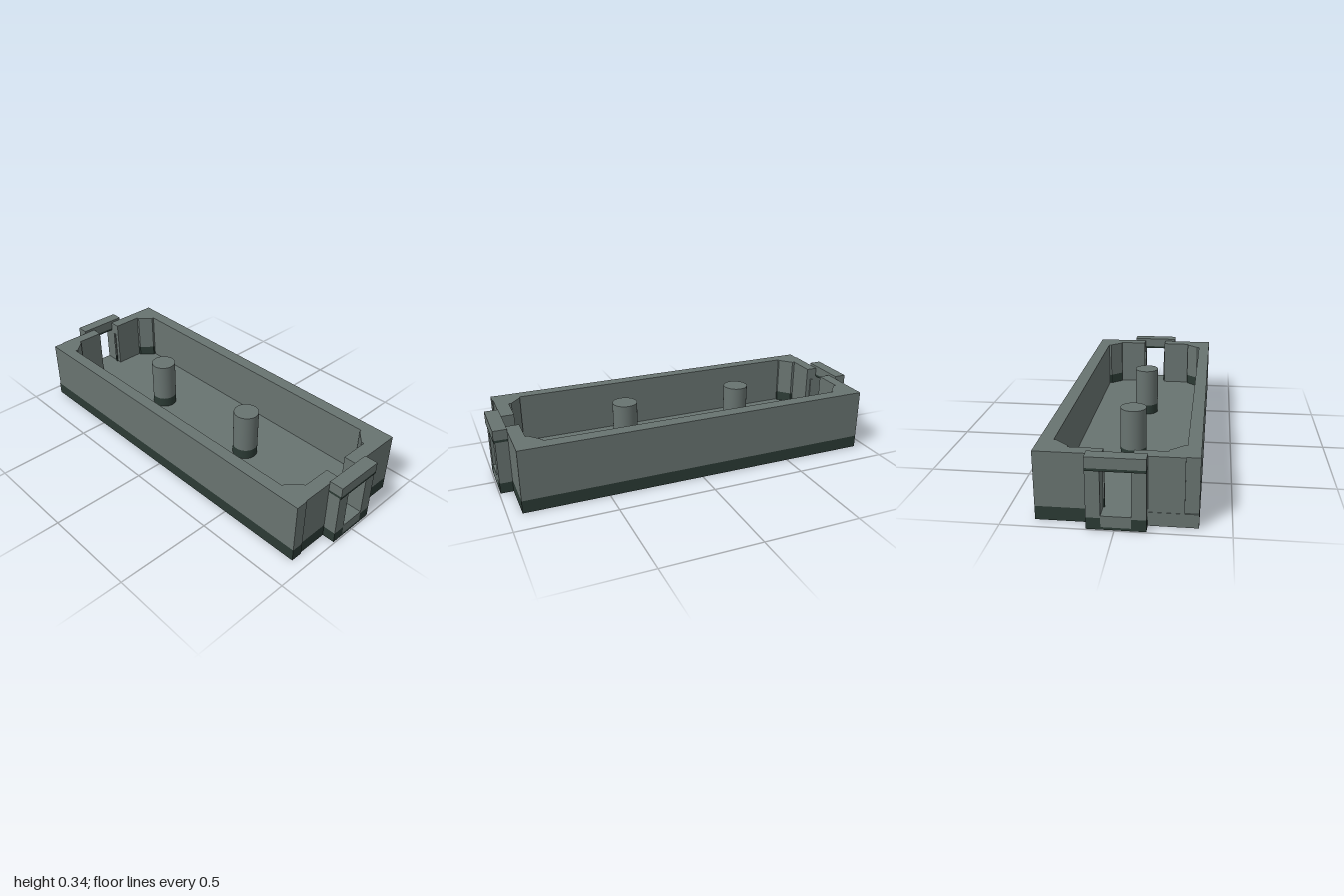
import * as THREE from 'three';

export function createModel() {
  const root = new THREE.Group();
  root.name = 'openTray';
  const grey = new THREE.MeshStandardMaterial({ color: 0x687370 });
  grey.name = 'stone grey';
  const dark = new THREE.MeshStandardMaterial({ color: 0x2b3a34 });
  dark.name = 'dark green';

  function add(name, geometry, material, parent = root) {
    const mesh = new THREE.Mesh(geometry, material);
    mesh.name = name;
    parent.add(mesh);
    return mesh;
  }
  // Box given by its limits on each axis
  function box(name, mat, [x0, x1], [y0, y1], [z0, z1], parent) {
    const xa = Math.min(x0, x1), za = Math.min(z0, z1);
    const w = Math.abs(x1 - x0), d = Math.abs(z1 - z0);
    const g = new THREE.BoxGeometry(w, y1 - y0, d);
    g.translate(xa + w / 2, (y0 + y1) / 2, za + d / 2);
    return add(name, g, mat, parent);
  }
  // Upright prism from a plan outline of [x, z] points
  function prism(name, mat, points, y0, y1) {
    const shape = new THREE.Shape(points.map(([x, z]) => new THREE.Vector2(x, -z)));
    const g = new THREE.ExtrudeGeometry(shape, { depth: y1 - y0, bevelEnabled: false });
    g.rotateX(-Math.PI / 2);
    g.translate(0, y0, 0);
    add(name, g, mat);
  }

  const F = 0.065, TOP = 0.325;          // floor and rim heights
  const L = -0.357, R = 0.357;           // outer sides
  const inL = -0.295, inR = 0.29;        // inner sides

  // Dark base with a grey floor
  const floorMats = [dark, dark, grey, dark, dark, dark];
  box('floor', floorMats, [inL, R], [0, F], [-0.937, 0.93]);
  box('sideBase', dark, [L, inL], [0, F], [-0.932, 0.935]);

  // Long side walls
  box('sideWall', grey, [L, inL], [F, TOP], [-0.932, 0.935]);
  box('sideWall', grey, [inR, R], [F, TOP], [-0.937, 0.93]);

  // Ends: outer face, inner face, outermost face, doorway centre
  const ends = [
    { s: 1, out: 0.93, inn: 0.862, tip: 1.0, cx: -0.001 },
    { s: -1, out: -0.937, inn: -0.877, tip: -1.0, cx: -0.007 },
  ];
  for (const { s, out, inn, tip, cx } of ends) {
    const end = new THREE.Group();
    end.name = s > 0 ? 'frontEnd' : 'backEnd';
    root.add(end);
    const face = tip - s * 0.006;

    for (const m of [1, -1]) {
      const edge = cx + m * 0.066;
      const inner = m > 0 ? inR : inL;
      // End wall beside the open doorway
      box('endWall', grey, [inner, edge], [F, TOP], [inn, out], end);

      // Post outside the doorway
      const px = [edge, cx + m * 0.13];
      box('postFoot', dark, px, [0, 0.055], [out, face], end);
      box('post', grey, px, [0.055, 0.275], [out, face], end);

      // Thin rib in the doorway
      const rx = [edge, edge - m * 0.007];
      const mid = (inn + out) / 2;
      box('ribFoot', dark, rx, [F, 0.105], [mid - 0.006, mid + 0.006], end);
      box('rib', grey, rx, [0.105, 0.26], [mid - 0.006, mid + 0.006], end);

      // Chamfered inner corner with a dark foot
      const tipX = inner - m * 0.075;
      const corner = [
        [inner, inn], [inner, inn - s * 0.07], [inner - m * 0.012, inn - s * 0.07],
        [tipX, inn - s * 0.014], [tipX, inn],
      ];
      prism('cornerFoot', dark, corner, F, 0.12);
      prism('cornerBlock', grey, corner, 0.12, TOP);
    }

    // Sill and lintel of the doorway
    const sill = [cx - 0.066, cx + 0.066];
    box('sillBase', dark, sill, [0, 0.012], [out, face], end);
    box('sill', grey, sill, [0.012, F], [out, face], end);
    const span = [cx - 0.13, cx + 0.13];
    box('lintelBase', dark, span, [0.275, 0.287], [out, tip], end);
    box('lintel', grey, span, [0.287, 0.338], [out, tip], end);
  }

  // Grey facing low on one side of the back
  box('backFacing', grey, [L, -0.137], [0, F], [-0.939, -0.93]);

  // Two round pillars on dark feet
  for (const z of [-0.36, 0.293]) {
    const pillar = new THREE.Group();
    pillar.name = 'pillar';
    pillar.position.set(-0.007, 0, z);
    root.add(pillar);
    const part = (name, mat, y0, y1) => {
      const g = new THREE.CylinderGeometry(0.065, 0.065, y1 - y0, 40);
      g.translate(0, (y0 + y1) / 2, 0);
      add(name, g, mat, pillar);
    };
    part('pillarFoot', dark, F, 0.118);
    part('pillarShaft', grey, 0.118, TOP);
  }

  return root;
}
